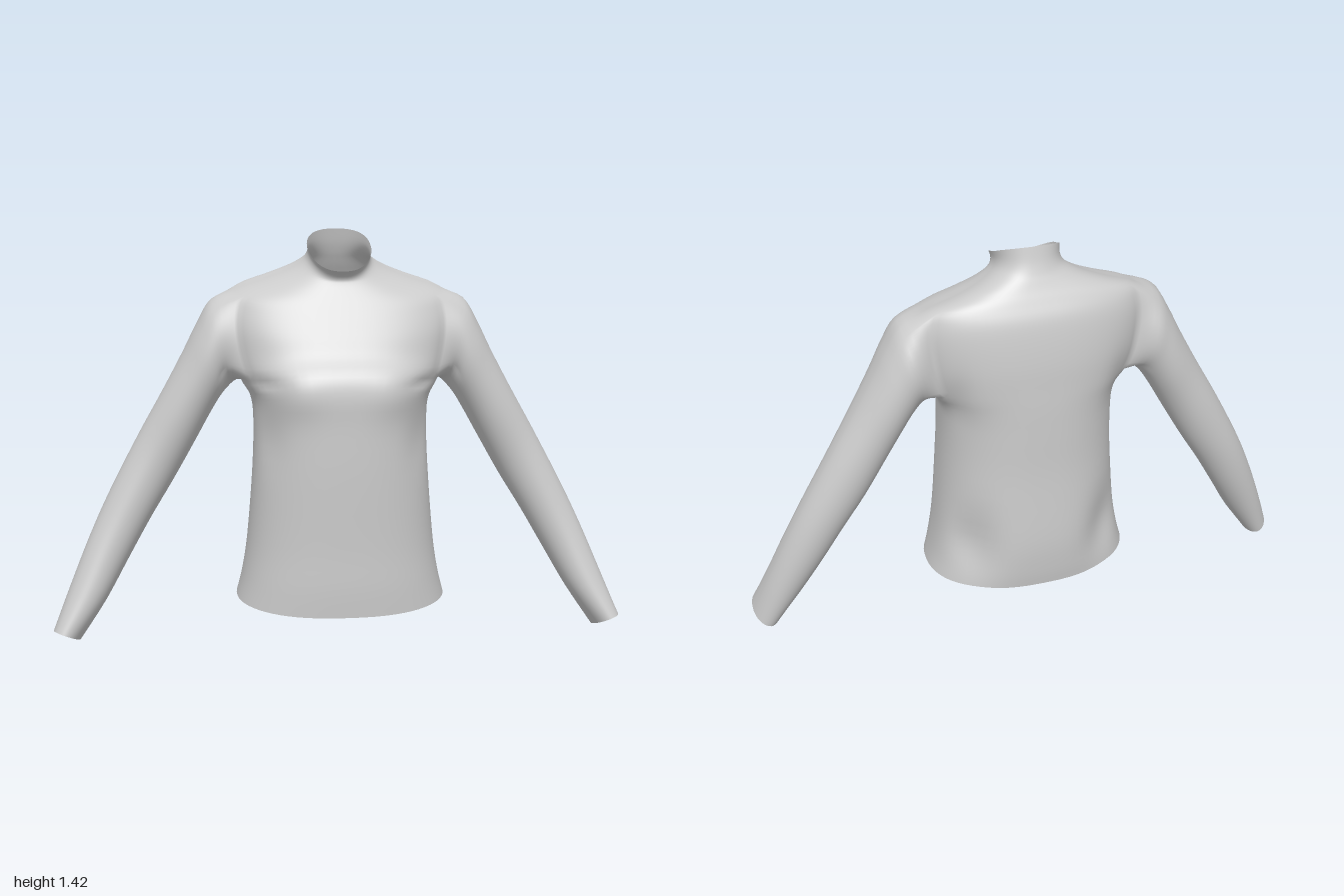
import * as THREE from 'three';

const COLS = 64, SUB = 4, ARM = 5;      // columns around, rows per section, armhole half-width
const ARM_LOW = 6 * SUB, ARM_TOP = 10 * SUB, COLLAR = 13 * SUB;
const FRONT_ROUND = 0.82, BACK_ROUND = 0.92;

// Body sections, hem to collar rim:
// y front, y side, y back, half width, z front, z side, z back
const BODY = [
  [0.12, 0.15, 0.155, 0.365, 0.26, 0, -0.26],
  [0.22, 0.23, 0.23, 0.345, 0.265, 0, -0.27],
  [0.36, 0.36, 0.36, 0.325, 0.266, 0, -0.276],
  [0.6, 0.6, 0.6, 0.305, 0.274, 0, -0.265],
  [0.77, 0.77, 0.77, 0.3, 0.276, -0.01, -0.265],
  [0.87, 0.85, 0.87, 0.31, 0.278, -0.03, -0.265],
  [0.94, 0.91, 0.95, 0.345, 0.262, -0.05, -0.263],
  [1.0, 1.0, 1.04, 0.375, 0.215, -0.06, -0.26],
  [1.06, 1.1, 1.13, 0.39, 0.183, -0.065, -0.25],
  [1.12, 1.17, 1.2, 0.385, 0.152, -0.07, -0.235],
  [1.17, 1.215, 1.25, 0.36, 0.126, -0.075, -0.21],
  [1.21, 1.25, 1.285, 0.26, 0.105, -0.075, -0.19],
  [1.235, 1.28, 1.31, 0.18, 0.093, -0.065, -0.177],
  [1.25, 1.31, 1.335, 0.125, 0.09, -0.045, -0.165],
  [1.265, 1.335, 1.37, 0.108, 0.1, -0.03, -0.152],
  [1.28, 1.36, 1.417, 0.11, 0.12, -0.02, -0.14],
];

// Left sleeve sections, shoulder to cuff: outer x, y, inner x, y, z front, z back
const SLEEVE = [
  [0.44, 1.18, 0.375, 0.885, 0.068, -0.19],
  [0.49, 1.1, 0.41, 0.845, 0.068, -0.187],
  [0.54, 1.0, 0.45, 0.78, 0.06, -0.18],
  [0.61, 0.87, 0.5, 0.69, 0.05, -0.165],
  [0.7, 0.71, 0.58, 0.55, 0.037, -0.15],
  [0.8, 0.52, 0.66, 0.42, 0.047, -0.13],
  [0.87, 0.37, 0.74, 0.28, 0.067, -0.105],
  [0.94, 0.2, 0.82, 0.14, 0.1, -0.07],
  [1.0, 0.045, 0.91, 0.01, 0.13, -0.03],
];

// Soft swells and hollows in the cloth: side (+1 front, -1 back), x, y, spread x, spread y, depth
const FOLDS = [
  [1, 0.17, 0.88, 0.08, 0.08, 0.016],
  [1, 0.27, 0.91, 0.05, 0.018, -0.018],
  [1, 0.26, 0.72, 0.05, 0.1, -0.02],
  [-1, 0.24, 0.33, 0.07, 0.12, -0.04],
  [-1, 0.28, 0.9, 0.04, 0.1, -0.015],
];

// Smooth interpolation through a list of equal-length number rows
function spline(rows, t) {
  const i = Math.min(Math.floor(t), rows.length - 2), f = t - i;
  const at = (n) => rows[Math.max(0, Math.min(rows.length - 1, n))];
  const [a, b, c, d] = [at(i - 1), at(i), at(i + 1), at(i + 2)];
  return b.map((v, n) => v + 0.5 * f * (c[n] - a[n]
    + f * (2 * a[n] - 5 * v + 4 * c[n] - d[n] + f * (3 * (v - c[n]) + d[n] - a[n]))));
}

function bodyPoint(row, col) {
  const [yF, yS, yB, w, zF, zS, zB] = spline(BODY, row / SUB);
  const a = (col / COLS) * Math.PI * 2, c = Math.cos(a), s = Math.sin(a);
  const x = w * Math.sign(c) * Math.abs(c) ** FRONT_ROUND;
  const y = yS + s * (yF - yB) / 2 + s * s * ((yF + yB) / 2 - yS);
  let z = s > 0 ? zS + (zF - zS) * s ** FRONT_ROUND : zS - (zS - zB) * (-s) ** BACK_ROUND;
  for (const [side, fx, fy, sx, sy, depth] of FOLDS) {
    if (side * s <= 0) continue;
    const g = ((Math.abs(x) - fx) / sx) ** 2 + ((y - fy) / sy) ** 2;
    z += side * depth * Math.exp(-g) * Math.min(1, Math.abs(s) * 2);
  }
  return [x, y, z];
}

export function createModel() {
  const points = [];
  const index = { torso: [], collar: [], leftSleeve: [], rightSleeve: [] };
  const rows = (BODY.length - 1) * SUB;
  const id = (r, c) => r * COLS + ((c + COLS) % COLS);
  const quad = (list, a, b, c, d, flip) =>
    flip ? list.push(a, b, d, b, c, d) : list.push(a, d, b, b, d, c);

  // Torso and collar, leaving out the armholes
  for (let r = 0; r <= rows; r++)
    for (let c = 0; c < COLS; c++) points.push(bodyPoint(r, c));
  const inArm = (c) => c < ARM || c >= COLS - ARM || (c >= COLS / 2 - ARM && c < COLS / 2 + ARM);
  for (let r = 0; r < rows; r++)
    for (let c = 0; c < COLS; c++) {
      if (r >= ARM_LOW && r < ARM_TOP && inArm(c)) continue;
      quad(r < COLLAR ? index.torso : index.collar,
        id(r, c), id(r, c + 1), id(r + 1, c + 1), id(r + 1, c), false);
    }

  // Armhole edge as a loop of [row, column]
  const loop = [];
  for (let c = -ARM; c < ARM; c++) loop.push([ARM_LOW, c]);
  for (let r = ARM_LOW; r < ARM_TOP; r++) loop.push([r, ARM]);
  for (let c = ARM; c > -ARM; c--) loop.push([ARM_TOP, c]);
  for (let r = ARM_TOP; r > ARM_LOW; r--) loop.push([r, -ARM]);

  // Lengthwise lines of the sleeve, each starting on the armhole edge
  const lines = loop.map(([r, c]) => {
    const p = bodyPoint(r, c);
    const angle = Math.atan2((p[2] + 0.05) / 0.12, (p[1] - 1.06) / 0.155);
    const cos = Math.cos(angle), sin = Math.sin(angle);
    return [p, ...SLEEVE.map(([ox, oy, ix, iy, zF, zB], k) => [
      (ox + ix) / 2 + cos * (ox - ix) / 2,
      (oy + iy) / 2 + cos * (oy - iy) / 2 + (k === SLEEVE.length - 1 ? 0.02 * sin : 0),
      (zF + zB) / 2 + sin * (zF - zB) / 2,
    ])];
  });

  // Both sleeves, the right one mirrored
  for (const side of [1, -1]) {
    const list = side > 0 ? index.leftSleeve : index.rightSleeve;
    let ring = loop.map(([r, c]) => id(r, side > 0 ? c : COLS / 2 - c));
    for (let s = 1; s <= SLEEVE.length * SUB; s++) {
      const next = lines.map((line) => {
        const [x, y, z] = spline(line, s / SUB);
        return points.push([side * x, y, z]) - 1;
      });
      for (let j = 0; j < ring.length; j++) {
        const n = (j + 1) % ring.length;
        quad(list, ring[j], ring[n], next[n], next[j], side < 0);
      }
      ring = next;
    }
  }

  // Shared normals keep the seams between the parts smooth
  const whole = new THREE.BufferGeometry();
  whole.setAttribute('position', new THREE.Float32BufferAttribute(points.flat(), 3));
  whole.setIndex(Object.values(index).flat());
  whole.computeVertexNormals();

  const material = new THREE.MeshStandardMaterial({ color: 0xcccccc, side: THREE.DoubleSide });
  const group = new THREE.Group();
  group.name = 'longSleevedTop';
  for (const [name, list] of Object.entries(index)) {
    const geometry = new THREE.BufferGeometry();
    geometry.setAttribute('position', whole.getAttribute('position'));
    geometry.setAttribute('normal', whole.getAttribute('normal'));
    geometry.setIndex(list);
    const mesh = new THREE.Mesh(geometry, material);
    mesh.name = name;
    group.add(mesh);
  }
  return group;
}
